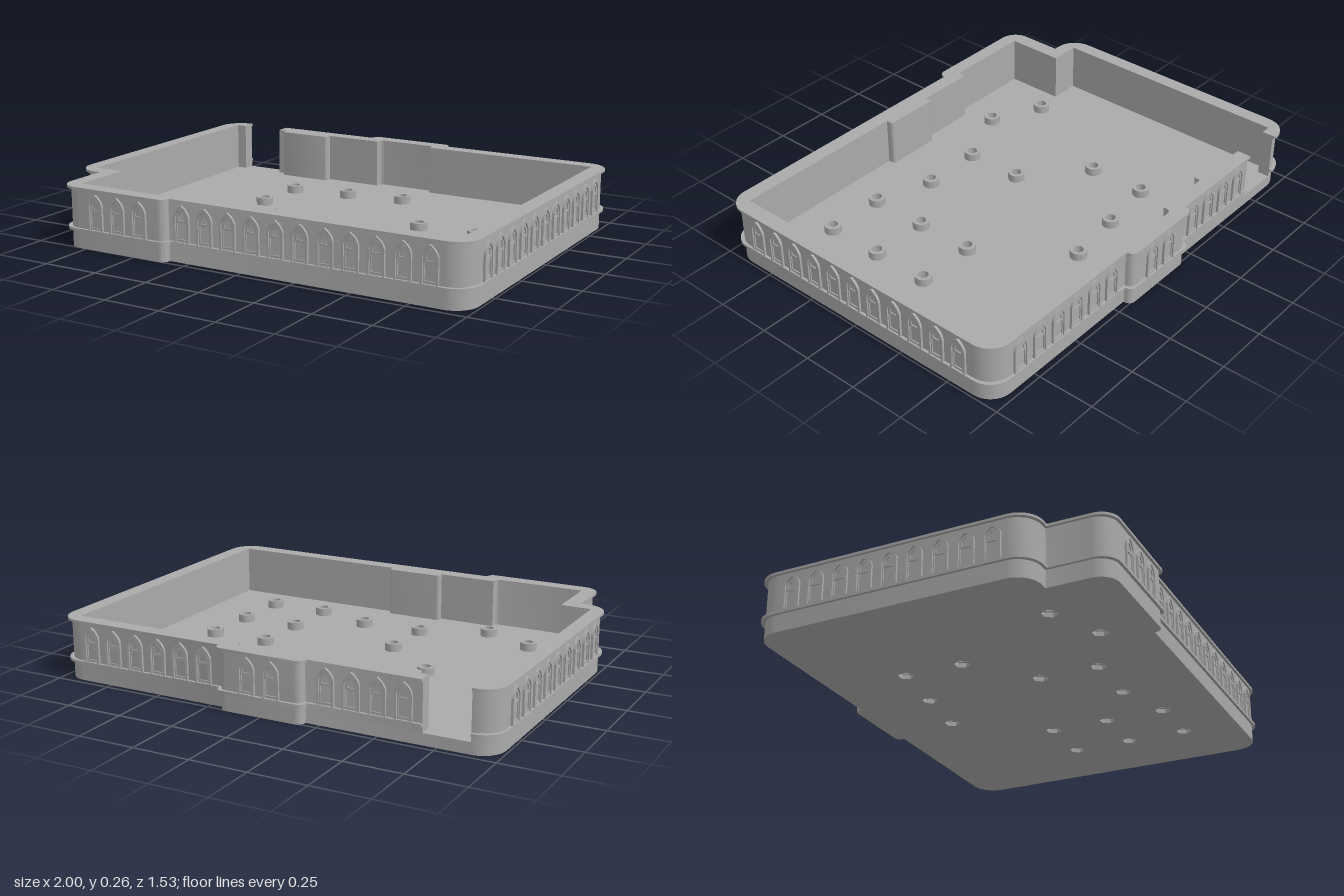
import * as THREE from 'three';
import { toCreasedNormals, mergeGeometries } from 'three/addons/utils/BufferGeometryUtils.js';

const INSET = 0.012;
const GAP = [-0.89, -0.69]; // opening in the back wall

// Plan corners as [x, z, corner radius], starting just after the opening
const OUTER = [
  [-0.2, -0.735, 0.005], [-0.2, -0.77, 0.03], [0.2, -0.77, 0.03], [0.2, -0.735, 0.005],
  [1, -0.735, 0.1], [1, 0.73, 0.1], [-0.33, 0.73, 0.005], [-0.33, 0.765, 0.03],
  [-0.87, 0.765, 0.08], [-0.87, 0.5, 0.005], [-1, 0.5, 0.1], [-1, -0.735, 0.1],
];
const INNER = [
  [-0.65, -0.67, 0], [-0.65, -0.637, 0.015], [-0.4, -0.637, 0.015], [-0.4, -0.67, 0],
  [-0.14, -0.67, 0], [-0.14, -0.705, 0.02], [0.14, -0.705, 0.02], [0.14, -0.67, 0],
  [0.93, -0.67, 0], [0.93, 0.662, 0], [0.125, 0.662, 0], [0.125, 0.63, 0.01],
  [-0.13, 0.63, 0.01], [-0.13, 0.662, 0], [-0.39, 0.662, 0], [-0.39, 0.7, 0.02],
  [-0.8, 0.7, 0], [-0.8, 0.437, 0], [-0.935, 0.437, 0], [-0.935, -0.67, 0],
];
const POSTS = [
  [-0.41, -0.365], [-0.145, -0.4], [0.12, -0.435], [-0.41, -0.1], [0.395, -0.06],
  [0.66, -0.06], [-0.145, 0.13], [0.395, 0.205], [0.66, 0.205], [-0.665, 0.415],
  [-0.145, 0.395], [0.135, 0.39], [-0.43, 0.525], [0.395, 0.47], [0.66, 0.47],
];

// Moves every right-angled corner inwards by d
function inset(pts, d) {
  const n = pts.length;
  const normal = (a, b) => [-Math.sign(b[1] - a[1]), Math.sign(b[0] - a[0])];
  return pts.map((p, i) => {
    const a = normal(pts[(i + n - 1) % n], p), b = normal(p, pts[(i + 1) % n]);
    return [p[0] + d * (a[0] + b[0]), p[1] + d * (a[1] + b[1]), p[2]];
  });
}

// Closed shape with rounded corners
function roundedShape(pts) {
  const s = new THREE.Shape();
  const n = pts.length, K = 0.5523;
  const toward = (p, q, d) => {
    const l = Math.hypot(q[0] - p[0], q[1] - p[1]);
    return [p[0] + (q[0] - p[0]) * d / l, p[1] + (q[1] - p[1]) * d / l];
  };
  pts.forEach((p, i) => {
    const prev = pts[(i + n - 1) % n], next = pts[(i + 1) % n], r = p[2];
    const a = toward(p, prev, r), b = toward(p, next, r);
    if (i === 0) s.moveTo(...a); else s.lineTo(...a);
    if (r > 0) s.bezierCurveTo(...toward(p, prev, r * (1 - K)), ...toward(p, next, r * (1 - K)), ...b);
  });
  s.closePath();
  return s;
}

// Wall ring with the opening left out
function wallShape(d) {
  const z = -0.735 + d;
  return roundedShape([
    [GAP[1], z, 0], ...inset(OUTER, d), [GAP[0], z, 0],
    [GAP[0], -0.67, 0], ...[...INNER].reverse(), [GAP[1], -0.67, 0],
  ]);
}

// Plan shape extruded upwards between two heights
function slab(shape, y0, y1) {
  const g = new THREE.ExtrudeGeometry(shape, { depth: y1 - y0, bevelEnabled: false, curveSegments: 10 });
  g.rotateX(Math.PI / 2).translate(0, y1, 0);
  return toCreasedNormals(g, 0.5);
}

function circlePath(x, z, r, sides) {
  const pts = [];
  for (let i = 0; i < sides; i++) {
    const a = i / sides * Math.PI * 2;
    pts.push(new THREE.Vector2(x + r * Math.cos(a), z + r * Math.sin(a)));
  }
  return new THREE.Path(pts);
}

// Pointed arch outline
function arch(Type, w, y0, spring, top) {
  const s = new Type();
  s.moveTo(-w, y0);
  s.lineTo(w, y0);
  s.lineTo(w, spring);
  s.quadraticCurveTo(w * 0.85, spring + (top - spring) * 0.6, 0, top);
  s.quadraticCurveTo(-w * 0.85, spring + (top - spring) * 0.6, -w, spring);
  s.closePath();
  return s;
}

// One blind window: outer moulding, inner moulding and a small pointed light
function windowGeometry() {
  const layer = (w, y0, spring, top, hole, depth) => {
    const s = arch(THREE.Shape, w, y0, spring, top);
    s.holes.push(arch(THREE.Path, ...hole));
    return new THREE.ExtrudeGeometry(s, { depth, bevelEnabled: false, curveSegments: 5 });
  };
  const tracery = arch(THREE.Shape, 0.027, 0.09, 0.19, 0.225);
  tracery.holes.push(arch(THREE.Path, 0.016, 0.178, 0.19, 0.212));
  const panel = new THREE.Path();
  panel.moveTo(-0.022, 0.1);
  panel.lineTo(0.022, 0.1);
  panel.lineTo(0.022, 0.168);
  panel.lineTo(-0.022, 0.168);
  panel.closePath();
  tracery.holes.push(panel);
  return mergeGeometries([
    layer(0.037, 0.088, 0.195, 0.242, [0.028, 0.089, 0.193, 0.229], 0.01),
    new THREE.ExtrudeGeometry(tracery, { depth: 0.005, bevelEnabled: false, curveSegments: 5 }),
  ]);
}

export function createModel() {
  const model = new THREE.Group();
  model.name = 'tray';
  const grey = new THREE.MeshStandardMaterial({ color: 0xaaaaaa });
  grey.name = 'grey';
  const add = (name, geometry, parent = model) => {
    const m = new THREE.Mesh(geometry, grey);
    m.name = name;
    parent.add(m);
    return m;
  };

  // Floor: hexagonal nut pockets below, round screw holes above
  const floor = (sides, r) => {
    const s = roundedShape(inset(OUTER, INSET));
    POSTS.forEach(([x, z]) => s.holes.push(circlePath(x, z, r, sides)));
    return s;
  };
  add('floorUnderside', slab(floor(6, 0.034), 0, 0.02));
  add('floor', slab(floor(20, 0.022), 0.02, 0.05));

  // Walls with a projecting belt and rim
  add('lowerWall', slab(wallShape(INSET), 0.05, 0.076));
  add('belt', slab(wallShape(0), 0.076, 0.088));
  add('wall', slab(wallShape(INSET), 0.088, 0.254));
  add('rim', slab(wallShape(0), 0.254, 0.265));

  // Mounting posts
  const ring = new THREE.Shape(circlePath(0, 0, 0.037, 20).getPoints());
  ring.holes.push(circlePath(0, 0, 0.022, 20));
  const post = slab(ring, 0.05, 0.085);
  POSTS.forEach(([x, z]) => add('mountingPost', post).position.set(x, 0, z));

  // Rows of windows: wall plane, first position along it, count, facing angle
  const win = windowGeometry();
  const STEP = 0.111;
  const row = (name, plane, start, count, turn) => {
    const g = new THREE.Group();
    g.name = name;
    for (let i = 0; i < count; i++) {
      const m = add('archedWindow', win, g), t = start + i * STEP;
      const sideways = Math.abs(Math.sin(turn)) > 0.5;
      m.position.set(sideways ? plane : t, 0, sideways ? t : plane);
      m.rotation.y = turn;
    }
    model.add(g);
  };
  row('frontWindows', 0.73 - INSET, -0.275, 11, 0);
  row('frontBayWindows', 0.765 - INSET, -0.687, 3, 0);
  row('leftSideWindows', 1 - INSET, -0.555, 11, Math.PI / 2);
  row('rightSideWindows', -1 + INSET, -0.555, 9, -Math.PI / 2);
  row('backWindows', -0.735 + INSET, 0.28, 6, Math.PI);
  row('backBayWindows', -0.77 + INSET, -0.0555, 2, Math.PI);
  row('backEndWindows', -0.735 + INSET, -0.613, 4, Math.PI);

  return model;
}
